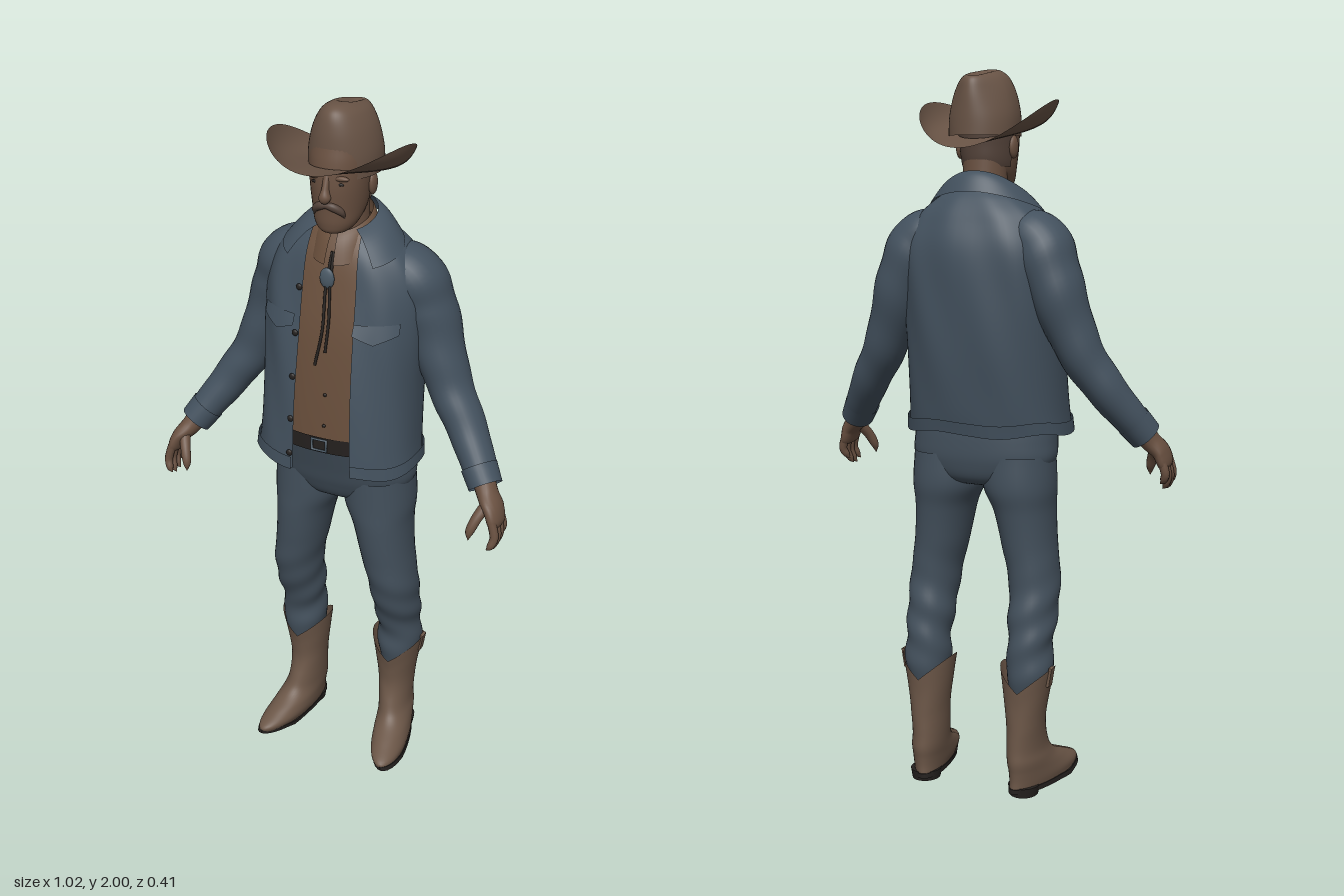
import * as THREE from 'three';
import { mergeVertices } from 'three/addons/utils/BufferGeometryUtils.js';

const paint = (name, color) => {
  const m = new THREE.MeshStandardMaterial({ color, side: THREE.DoubleSide });
  m.name = name;
  return m;
};
const M = {
  denim: paint('denim', 0x43515e), jeans: paint('jeans blue', 0x43505c), skin: paint('skin', 0x6a5141),
  hat: paint('hat felt', 0x685345), boot: paint('boot leather', 0x6b5647), shirt: paint('shirt brown', 0x684e3b),
  dark: paint('dark leather', 0x25211f), hair: paint('hair', 0x54433a), metal: paint('clasp', 0x4b5a66),
};

// Smooth surface from f(u, v); it faces along du x dv
function surf(f, nu, nv) {
  const pos = [], idx = [];
  for (let j = 0; j <= nv; j++) for (let i = 0; i <= nu; i++) pos.push(...f(i / nu, j / nv));
  for (let j = 0; j < nv; j++) for (let i = 0; i < nu; i++) {
    const a = j * (nu + 1) + i, c = a + nu + 1;
    idx.push(a, a + 1, c, a + 1, c + 1, c);
  }
  const g = new THREE.BufferGeometry();
  g.setAttribute('position', new THREE.Float32BufferAttribute(pos, 3));
  g.setIndex(idx);
  const w = mergeVertices(g, 1e-5);
  w.computeVertexNormals();
  return w;
}
// Smooth interpolation through a list of sections
function through(keys) {
  const c = new THREE.CubicInterpolant(keys.map((_, i) => i), keys.flat(), keys[0].length, []);
  return v => [...c.evaluate(Math.min(1, Math.max(0, v)) * (keys.length - 1))];
}
const pw = (s, p) => Math.sign(s) * Math.abs(s) ** p;
// Stacked horizontal rings; a section is [y, x, z, halfWidth, halfDepth]
function loft(keys, { nu = 40, nv = 40, p = 1, rule = q => q, range = () => [0, Math.PI * 2], v0 = 0, v1 = 1, grow = 0 } = {}) {
  const at = through(keys);
  return surf((u, v) => {
    const w = v0 + (v1 - v0) * v, [y, x, z, rx, rz] = at(w), [a, b] = range(rx, w);
    const t = a + (b - a) * u;
    return rule([x + (rx + grow) * pw(Math.sin(t), p), y, z + (rz + grow) * pw(Math.cos(t), p)], t, w);
  }, nu, nv);
}
// Rings square to a path; a section is [x, y, z, radiusAcross, radiusDeep]
function limb(keys, nu = 20, nv = 30, rule = () => 1) {
  const at = through(keys), Z = new THREE.Vector3(0, 0, 1);
  return surf((u, v) => {
    const k = at(v), a = at(v - 0.01), b = at(v + 0.01), t = u * Math.PI * 2;
    const T = new THREE.Vector3(b[0] - a[0], b[1] - a[1], b[2] - a[2]).normalize();
    const A = T.clone().cross(Z).normalize(), B = A.clone().cross(T), r = rule(t, v);
    return new THREE.Vector3(k[0], k[1], k[2])
      .addScaledVector(A, k[3] * r * Math.sin(t)).addScaledVector(B, k[4] * r * Math.cos(t)).toArray();
  }, nu, nv);
}
const ball = (x, y, z, rx, ry, rz) => new THREE.SphereGeometry(1, 18, 12).scale(rx, ry, rz).translate(x, y, z);
function mirror(geo) {
  const g = geo.clone().scale(-1, 1, 1), i = g.index.array;
  for (let k = 0; k < i.length; k += 3) [i[k], i[k + 1]] = [i[k + 1], i[k]];
  return g;
}

const JACKET = [
  [1.02, 0, 0.01, 0.232, 0.167], [1.1, 0, 0, 0.226, 0.17], [1.25, 0, -0.018, 0.222, 0.17], [1.4, 0, -0.033, 0.226, 0.16],
  [1.52, 0, -0.045, 0.222, 0.143], [1.6, 0, -0.045, 0.188, 0.12], [1.65, 0, -0.045, 0.135, 0.095], [1.68, 0, -0.043, 0.085, 0.072],
];
const SHIRT = JACKET.map(([y, x, z, rx, rz], i) => {
  const d = Math.max(0.012, 0.032 - i * 0.006);
  return [y, x, z, rx - d, rz - d];
});
const P = 0.85;
// Depth of a body surface at a given x and height
function frontZ(keys, x, y) {
  const at = through(keys);
  let lo = 0, hi = 1;
  for (let i = 0; i < 25; i++) { const m = (lo + hi) / 2; if (at(m)[0] < y) lo = m; else hi = m; }
  const [, , z, rx, rz] = at(lo), s = Math.min(1, Math.abs(x) / rx) ** (1 / P);
  return z + rz * Math.sqrt(1 - s * s) ** P;
}

export function createModel() {
  const root = new THREE.Group();
  root.name = 'ranchHand';
  const add = (name, geo, mat) => {
    const m = new THREE.Mesh(geo, mat);
    m.name = name;
    root.add(m);
  };
  const pair = (name, geo, mat) => {
    add(name + 'Left', geo, mat);
    add(name + 'Right', mirror(geo), mat);
  };

  // Jacket, open at the front over the shirt
  const open = (rx, v) => {
    const ang = x => Math.asin(Math.min(1, x / rx) ** (1 / P));
    return [ang(0.1 - 0.035 * v), Math.PI * 2 - ang(0.07)];
  };
  const drape = ([x, y, z], t, v) => {
    const k = 0.003 * Math.sin(t * 9 + y * 14) * Math.sin(Math.PI * v);
    return [x * (1 + k), y + 0.006 * Math.sin(t * 5) * (1 - v) ** 4, z + k];
  };
  add('jacket', loft(JACKET, { nu: 72, nv: 44, p: P, range: open, rule: drape }), M.denim);
  add('jacketHem', loft(JACKET, { nu: 72, nv: 4, p: P, range: open, rule: drape, v1: 0.07, grow: 0.006 }), M.denim);
  add('shirt', loft(SHIRT, { p: P, v0: 0.11 }), M.shirt);

  // Folded collars: a ring around the neck that falls to points at the front
  const collar = (a, top, low) => surf((u, v) => {
    const t = a + (Math.PI * 2 - 2 * a) * u, f = (1 + Math.cos(t)) / 2;
    const [w, d, y] = [0, 1, 2].map(i => THREE.MathUtils.lerp(low[i] + low[i + 3] * f, top[i] + top[i + 3] * f, v));
    return [w * Math.sin(t), y + 0.012 * Math.sin(Math.PI * v), -0.04 + d * Math.cos(t)];
  }, 48, 8);
  add('jacketCollar', collar(0.68, [0.076, 0.066, 1.73, 0.008, 0.02, -0.06], [0.118, 0.106, 1.675, 0.085, 0.05, -0.085]), M.denim);
  add('shirtCollar', collar(0.12, [0.064, 0.06, 1.73, 0, 0.02, -0.06], [0.075, 0.07, 1.68, 0.03, 0.055, -0.09]), M.shirt);

  // Sleeves with soft folds, and cuffs
  const folds = (t, v) => 1 + 0.025 * Math.sin(v * 38 + t) * Math.sin(Math.PI * v);
  pair('sleeve', limb([
    [0.1, 1.59, -0.05, 0.045, 0.07], [0.176, 1.54, -0.062, 0.08, 0.09], [0.224, 1.43, -0.075, 0.077, 0.085],
    [0.288, 1.26, -0.058, 0.062, 0.068], [0.366, 1.135, -0.02, 0.053, 0.058], [0.442, 1.025, 0.042, 0.043, 0.047],
  ], 28, 48, folds), M.denim);
  pair('cuff', limb([[0.416, 1.062, 0.022, 0.049, 0.054], [0.445, 1.02, 0.045, 0.046, 0.05]], 28, 3), M.denim);

  // Chest pocket flaps and jacket buttons
  pair('pocketFlap', surf((u, v) => {
    const x = 0.085 + 0.11 * u, y = 1.45 - (1 - v) * (0.028 + 0.022 * (1 - Math.abs(2 * u - 1)));
    return [x, y, frontZ(JACKET, x, y) + 0.003 + 0.007 * (1 - v)];
  }, 12, 4), M.denim);
  for (const y of [1.06, 1.16, 1.28, 1.4, 1.52])
    add('jacketButton', ball(-0.08, y, frontZ(JACKET, -0.08, y) + 0.002, 0.009, 0.009, 0.005), M.dark);
  for (const y of [1.15, 1.24])
    add('shirtButton', ball(0.012, y, frontZ(SHIRT, 0.012, y) + 0.001, 0.005, 0.005, 0.004), M.dark);

  // Cord tie with a clasp
  const onShirt = (x, y) => [x, y, frontZ(SHIRT, x, y) + 0.005, 0.004, 0.004];
  add('tieCord', limb([onShirt(0, 1.62), onShirt(-0.006, 1.53), onShirt(-0.004, 1.42), onShirt(-0.02, 1.32)], 8), M.dark);
  add('tieCord', limb([onShirt(0.004, 1.62), onShirt(0.006, 1.53), onShirt(0.012, 1.45), onShirt(0.008, 1.36)], 8), M.dark);
  add('tieClasp', ball(-0.003, 1.555, frontZ(SHIRT, 0, 1.555) + 0.009, 0.021, 0.029, 0.009), M.metal);

  // Belt and buckle
  add('belt', loft([[1.068, 0, -0.003, 0.204, 0.148], [1.115, 0, -0.003, 0.204, 0.15]], { nv: 2, p: P }), M.dark);
  const buckle = new THREE.TorusGeometry(0.023, 0.004, 8, 4, Math.PI * 2).rotateZ(Math.PI / 4).scale(1.3, 1, 1);
  add('buckle', buckle.translate(0, 1.092, 0.149), M.metal);

  // Jeans
  add('jeansHips', loft([
    [0.868, 0, -0.034, 0.001, 0.001], [0.87, 0, -0.034, 0.06, 0.05], [0.89, 0, -0.033, 0.15, 0.1],
    [0.94, 0, -0.029, 0.204, 0.123], [1, 0, -0.021, 0.208, 0.134], [1.085, 0, -0.005, 0.2, 0.145],
  ], { p: 0.9 }), M.jeans);
  const crumple = ([x, y, z], t) => {
    const k = 0.003 * Math.sin(y * 62 + t * 2) * Math.exp(-(((y - 0.47) / 0.14) ** 2));
    return [x + k * Math.sin(t), y, z + k * Math.cos(t)];
  };
  pair('jeansLeg', loft([
    [0.28, 0.155, -0.075, 0.048, 0.062], [0.35, 0.158, -0.075, 0.064, 0.073], [0.42, 0.157, -0.072, 0.061, 0.071],
    [0.5, 0.156, -0.052, 0.066, 0.081], [0.6, 0.152, -0.028, 0.069, 0.088], [0.7, 0.135, -0.023, 0.074, 0.097],
    [0.8, 0.121, -0.024, 0.083, 0.108], [0.87, 0.108, -0.03, 0.1, 0.116], [0.96, 0.103, -0.028, 0.1, 0.116],
  ], { nu: 36, nv: 60, p: 0.95, rule: crumple }), M.jeans);

  // Boots: toes turned out, tops scalloped front and back
  const turnOut = ([x, y, z]) => [x + 0.2 * (z + 0.08) * Math.max(0, 1 - y / 0.2), y, z];
  pair('boot', loft([
    [0.024, 0.157, 0, 0.05, 0.157], [0.045, 0.157, 0, 0.054, 0.156], [0.07, 0.156, -0.028, 0.053, 0.13],
    [0.1, 0.154, -0.062, 0.051, 0.1], [0.14, 0.15, -0.074, 0.049, 0.085], [0.22, 0.149, -0.082, 0.053, 0.074],
    [0.3, 0.15, -0.08, 0.065, 0.074], [0.37, 0.152, -0.077, 0.077, 0.079],
  ], { nu: 48, rule: (q, t, v) => {
    const [x, y, z] = turnOut(q);
    return [x, y - 0.065 * (1 - Math.abs(Math.sin(t))) * Math.max(0, (v - 0.6) / 0.4), z];
  } }), M.boot);
  const sole = new THREE.CylinderGeometry(1, 1, 0.014, 32, 1).scale(0.053, 1, 0.16).translate(0.157, 0.019, 0);
  const sp = sole.attributes.position;
  for (let i = 0; i < sp.count; i++) {
    const [x, y, z] = turnOut([sp.getX(i), sp.getY(i), sp.getZ(i)]);
    sp.setXYZ(i, x, y + (z > 0.08 ? (z - 0.08) * 0.12 : -0.006 * Math.max(0, z / 0.08)), z);
  }
  sole.computeVertexNormals();
  pair('bootSole', sole, M.dark);
  pair('bootHeel', new THREE.CylinderGeometry(1, 0.9, 0.028, 24).scale(0.044, 1, 0.05).translate(0.153, 0.014, -0.104), M.dark);
  pair('bootStrap', new THREE.BoxGeometry(0.009, 0.055, 0.026).rotateZ(-0.16).translate(0.224, 0.345, -0.088), M.boot);

  // Hands
  pair('palm', limb([
    [0.434, 1.04, 0.036, 0.031, 0.033], [0.455, 1.005, 0.055, 0.028, 0.035], [0.48, 0.975, 0.073, 0.023, 0.045],
    [0.493, 0.94, 0.081, 0.018, 0.044], [0.495, 0.925, 0.083, 0.002, 0.02],
  ]), M.skin);
  for (let i = 0; i < 4; i++) {
    const z = 0.047 + i * 0.022, len = [0.058, 0.075, 0.078, 0.068][i];
    pair('finger', limb([
      [0.49, 0.955, z, 0.012, 0.012], [0.501, 0.94 - len * 0.4, z + 0.004, 0.012, 0.012],
      [0.494, 0.945 - len * 0.85, z + 0.012, 0.01, 0.01], [0.484, 0.943 - len, z + 0.015, 0.001, 0.001],
    ], 10, 14), M.skin);
  }
  pair('thumb', limb([
    [0.465, 0.99, 0.08, 0.017, 0.017], [0.447, 0.955, 0.11, 0.015, 0.015],
    [0.435, 0.92, 0.127, 0.012, 0.012], [0.433, 0.895, 0.132, 0.001, 0.001],
  ], 10, 16), M.skin);

  // Head and neck
  add('neck', loft([[1.58, 0, -0.04, 0.066, 0.068], [1.68, 0, -0.03, 0.06, 0.062], [1.78, 0, -0.024, 0.062, 0.062]]), M.skin);
  const HEAD = [
    [1.672, 0, 0.045, 0.001, 0.001], [1.678, 0, 0.045, 0.034, 0.037], [1.7, 0, 0.03, 0.056, 0.062], [1.74, 0, 0.009, 0.069, 0.086],
    [1.8, 0, 0.006, 0.077, 0.092], [1.86, 0, 0.002, 0.081, 0.091], [1.9, 0, 0, 0.078, 0.085],
  ];
  add('head', loft(HEAD), M.skin);
  add('hair', loft(HEAD, { v0: 0.5, grow: 0.004, range: () => [1.85, Math.PI * 2 - 1.85] }), M.hair);
  add('nose', limb([
    [0, 1.835, 0.088, 0.009, 0.008], [0, 1.8, 0.099, 0.01, 0.011], [0, 1.777, 0.103, 0.016, 0.015], [0, 1.765, 0.095, 0.004, 0.004],
  ]), M.skin);
  pair('ear', ball(0.08, 1.793, -0.012, 0.011, 0.031, 0.02).rotateY(0.05), M.skin);
  pair('moustache', limb([
    [-0.002, 1.757, 0.095, 0.008, 0.009], [0.018, 1.753, 0.093, 0.011, 0.01],
    [0.036, 1.74, 0.083, 0.009, 0.009], [0.042, 1.722, 0.073, 0.002, 0.002],
  ]), M.hair);
  pair('eye', ball(0.031, 1.813, 0.088, 0.01, 0.004, 0.003).rotateY(0.05), M.dark);
  pair('brow', ball(0.032, 1.828, 0.087, 0.022, 0.007, 0.008).rotateY(0.06), M.skin);

  // Hat: brim rolled up at the sides and dipping behind, creased crown
  add('hatBrim', surf((u, v) => {
    const t = u * Math.PI * 2, r = 1 - v, s = Math.sin(t);
    const x = (0.08 + 0.17 * r - 0.063 * r * r) * s, z = (0.1 + 0.103 * r) * Math.cos(t);
    return [x, 1.836 + 0.2 * z - 0.2 * z * z + 0.078 * s * s * r ** 2.5, z];
  }, 72, 16), M.hat);
  add('hatCrown', loft([
    [1.822, 0, -0.028, 0.095, 0.115], [1.88, 0, -0.028, 0.094, 0.114], [1.935, 0, -0.028, 0.081, 0.11],
    [1.973, 0, -0.028, 0.061, 0.1], [1.99, 0, -0.026, 0.04, 0.078], [1.997, 0, -0.02, 0.02, 0.04], [1.997, 0, -0.018, 0, 0],
  ], { nu: 56, rule: ([x, y, z], t, v) => {
    const high = THREE.MathUtils.smoothstep(v, 0.35, 0.75);
    const dent = 0.015 * Math.exp(-((x / 0.02) ** 2)) * Math.exp(-(((z + 0.06) / 0.05) ** 4));
    const taper = 1 - 0.3 * THREE.MathUtils.smoothstep(-z, 0.05, 0.14) * THREE.MathUtils.smoothstep(v, 0, 0.4);
    return [x * taper, y + high * (0.09 * (z + 0.02) - dent), z];
  } }), M.hat);
  return root;
}
